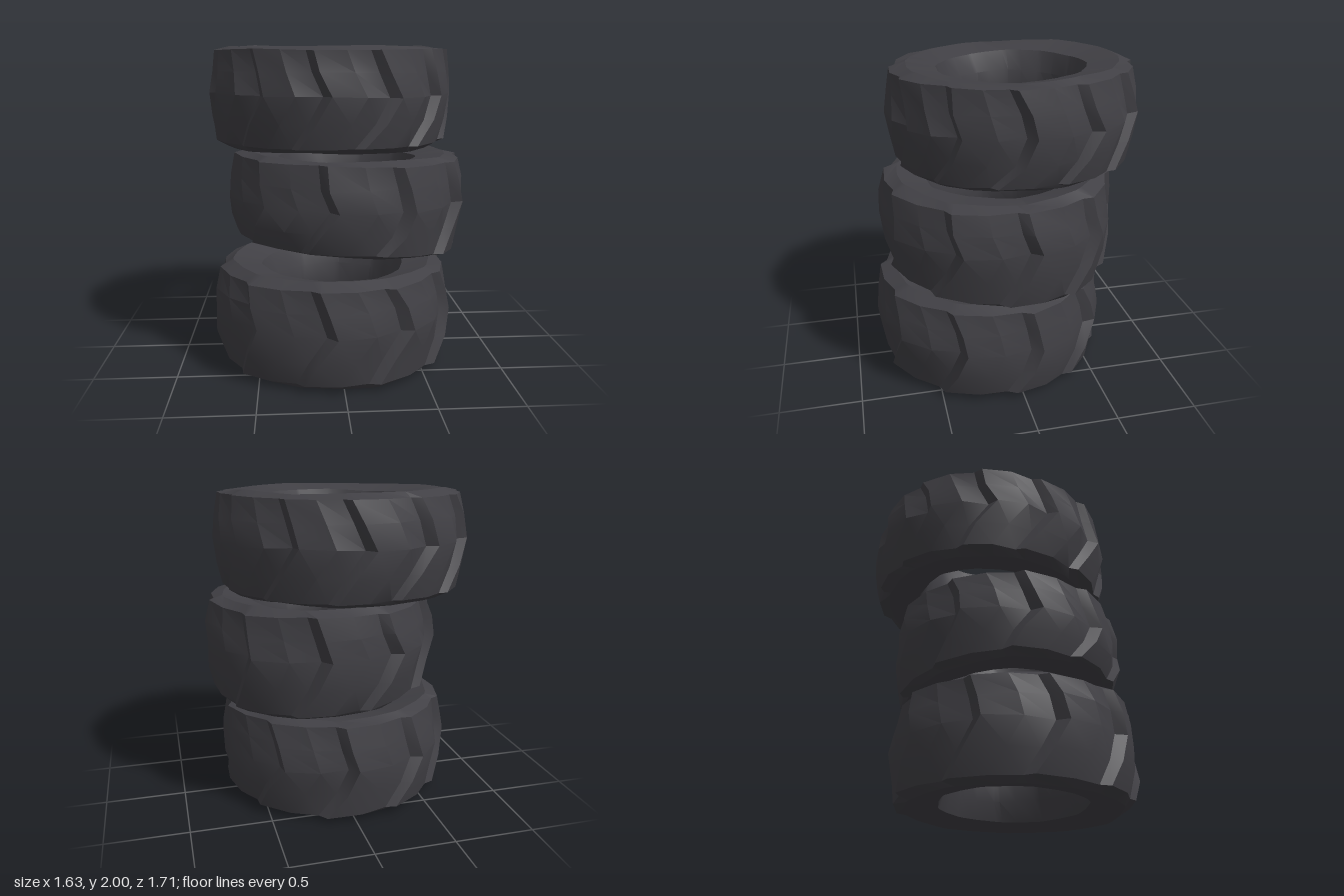
import * as THREE from 'three';
import { toCreasedNormals } from 'three/addons/utils/BufferGeometryUtils.js';

const rubber = new THREE.MeshStandardMaterial({ color: 0x414045 });
rubber.name = 'dark rubber';

// small seeded generator for the hand-cut irregularity
function seeded(seed) {
  let s = seed;
  return () => {
    s = (s * 16807) % 2147483647;
    return s / 2147483647 - 0.5;
  };
}

// cross-section, top inner rim round to the bore:
// [radius, height, chevron sweep, tread step depth] (fractions of radius / half height)
const SECTION = [
  [0.61, 0.86, -0.08, 0],
  [0.85, 1.00, -0.13, 0],
  [0.965, 0.91, -0.13, 0.05],
  [1.00, 0.50, -0.07, 0.065],
  [1.02, 0.06, 0, 0.075],
  [1.00, -0.45, -0.13, 0.065],
  [0.965, -0.90, -0.27, 0.05],
  [0.87, -1.00, -0.25, 0],
  [0.61, -0.88, -0.15, 0],
  [0.55, -0.50, -0.10, 0],
  [0.525, 0, -0.09, 0],
  [0.55, 0.45, -0.08, 0],
];

function tyreGeometry({ radius, half, blocks, start, seed, sag }) {
  const rand = seeded(seed);
  const step = (Math.PI * 2) / blocks;
  const rows = SECTION.length;
  const pos = [];
  const index = [];
  const wobble = Array.from({ length: blocks }, () =>
    SECTION.map(() => [rand() * 0.02, rand() * 0.02, rand() * 0.06]));

  // corner of a block on one row of the section
  const corner = (k, i) => {
    const [r, h, sweep] = SECTION[i];
    const [dr, dh, da] = wobble[k % blocks][i];
    const a = start + k * step + sweep + da;
    const rr = r * radius + dr;
    return new THREE.Vector3(Math.sin(a) * rr, h * half + dh, Math.cos(a) * rr);
  };

  // each block: raised edge, middle, then the sunken foot of the next step
  const columns = [[0, 0, 0], [0.48, 0.038, 0.2], [0.86, 0.025, 1]];
  for (let k = 0; k < blocks; k++) {
    for (const [t, bulge, drop] of columns) {
      for (let i = 0; i < rows; i++) {
        const depth = SECTION[i][3];
        const p = corner(k, i).lerp(corner(k + 1, i), t);
        const f = 1 + bulge - depth * drop;
        p.x *= f;
        p.z *= f;
        // the underside sags to one side
        p.y += Math.max(0, -SECTION[i][1]) * (sag[0] * p.x + sag[1] * p.z);
        pos.push(p.x, p.y, p.z);
      }
    }
  }

  const cols = blocks * columns.length;
  for (let j = 0; j < cols; j++) {
    const n = (j + 1) % cols;
    for (let i = 0; i < rows; i++) {
      const m = (i + 1) % rows;
      const a = j * rows + i, b = j * rows + m, c = n * rows + m, d = n * rows + i;
      index.push(a, b, c, a, c, d);
    }
  }
  const geo = new THREE.BufferGeometry();
  geo.setAttribute('position', new THREE.Float32BufferAttribute(pos, 3));
  geo.setIndex(index);
  return toCreasedNormals(geo, 0.4);
}

export function createModel() {
  const group = new THREE.Group();
  group.name = 'tyreStack';
  // three tyres, loosely stacked and slightly tilted
  const tyres = [
    { name: 'bottomTyre', at: [-0.03, 0.324, 0.085], tilt: [0, 0, 0], sag: [0, 0],
      radius: 0.755, half: 0.316, blocks: 10, start: -0.02, seed: 11 },
    { name: 'middleTyre', at: [0.065, 1.03, 0.055], tilt: [0, 0, -0.012], sag: [-0.06, 0.07],
      radius: 0.738, half: 0.302, blocks: 10, start: -0.13, seed: 47 },
    { name: 'topTyre', at: [-0.04, 1.677, -0.075], tilt: [0.018, 0, 0], sag: [0, 0],
      radius: 0.768, half: 0.305, blocks: 12, start: -0.03, seed: 83 },
  ];
  for (const t of tyres) {
    const mesh = new THREE.Mesh(tyreGeometry(t), rubber);
    mesh.name = t.name;
    mesh.position.set(...t.at);
    mesh.rotation.set(...t.tilt);
    group.add(mesh);
  }
  return group;
}
